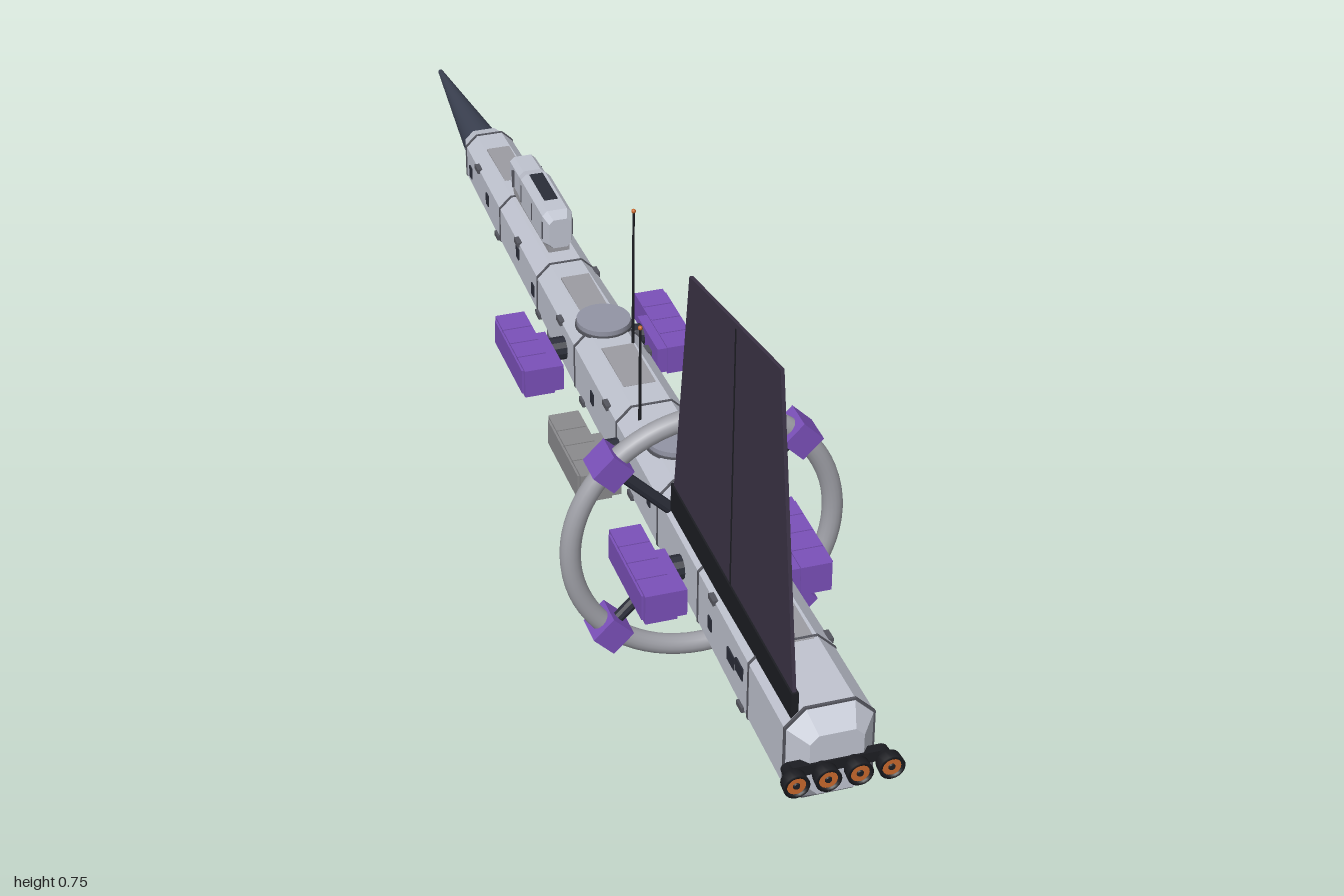
import * as THREE from 'three';

const AXIS_Y = 0.213;
const mat = (color) => new THREE.MeshStandardMaterial({ color });
const flat = (color) => new THREE.MeshStandardMaterial({ color, flatShading: true });

// Octagonal loft along z; each section is [z, halfWidth, halfHeight, chamfer, centreY]
function loft(sections) {
  const rings = sections.map(([z, w, h, c, y]) => [
    [w, c - h], [w, h - c], [w - c, h], [c - w, h],
    [-w, h - c], [-w, c - h], [c - w, -h], [w - c, -h],
  ].map(([px, py]) => new THREE.Vector3(px, py + y, z)));
  const pts = [];
  for (let i = 0; i < rings.length - 1; i++) {
    for (let j = 0; j < 8; j++) {
      const k = (j + 1) % 8;
      const [a, b, c, d] = [rings[i][j], rings[i][k], rings[i + 1][k], rings[i + 1][j]];
      pts.push(a, b, c, a, c, d);
    }
  }
  const first = rings[0], last = rings[rings.length - 1];
  for (let j = 1; j < 7; j++) {
    pts.push(first[0], first[j + 1], first[j], last[0], last[j], last[j + 1]);
  }
  const g = new THREE.BufferGeometry().setFromPoints(pts);
  g.computeVertexNormals();
  return g;
}

export function createModel() {
  const root = new THREE.Group();
  root.name = 'spaceship';
  const M = {
    hull: flat(0xc0c4d0), panel: flat(0x9c9ca2), seam: flat(0x55565e), purple: flat(0x7a50b8),
    pod: flat(0x8a8a8c), dark: flat(0x2a2d38), nose: mat(0x3a4050), ring: mat(0xa0a1a8),
    fin: flat(0x3b3346), disc: mat(0x9294a4), black: mat(0x1c1d22), orange: mat(0xc8692c),
  };
  const add = (name, geo, material, x = 0, y = 0, z = 0, parent = root) => {
    const m = new THREE.Mesh(geo, material);
    m.name = name;
    m.position.set(x, y, z);
    parent.add(m);
    return m;
  };
  const box = (name, w, h, d, material, x, y, z, parent) =>
    add(name, new THREE.BoxGeometry(w, h, d), material, x, y, z, parent);
  const rod = (r1, r2, len, n = 16) => new THREE.CylinderGeometry(r1, r2, len, n);

  // Hull, tapering from the engine block to the nose
  const stations = [
    [-0.715, 0.032, 0.034, 0.014], [-0.68, 0.039, 0.044, 0.018], [-0.46, 0.043, 0.048, 0.019],
    [-0.235, 0.046, 0.051, 0.021], [-0.02, 0.05, 0.057, 0.022], [0.2, 0.053, 0.061, 0.023],
    [0.4, 0.055, 0.064, 0.024], [0.585, 0.057, 0.066, 0.025], [0.8, 0.06, 0.07, 0.026],
    [0.94, 0.061, 0.072, 0.027], [0.97, 0.037, 0.047, 0.012],
  ].map((s) => [...s, AXIS_Y]);
  add('hull', loft(stations), M.hull);
  const hullAt = (z) => {
    let i = 0;
    while (i < stations.length - 2 && stations[i + 1][0] < z) i++;
    const a = stations[i], b = stations[i + 1];
    const t = (z - a[0]) / (b[0] - a[0]);
    return a.map((v, n) => v + (b[n] - v) * t);
  };

  // Dark seams at the hull joints and raised plates along the keel and spine
  stations.slice(1, -1).forEach(([z, w, h, c, y]) => {
    const s = [w + 0.0012, h + 0.0012, c, y];
    add('hullSeam', loft([[z - 0.002, ...s], [z + 0.002, ...s]]), M.seam);
  });
  for (const z of [-0.57, -0.13, 0.09, 0.49, 0.75]) {
    const [, w, h, c] = hullAt(z);
    for (const s of [1, -1]) {
      box('hullPlate', (w - c) * 1.7, 0.003, 0.11, M.panel, 0, AXIS_Y + s * h, z);
    }
  }

  // Nose spike
  const nose = rod(0.032, 0.004, 0.29, 24);
  nose.rotateX(Math.PI / 2);
  add('noseSpike', nose, M.nose, 0, AXIS_Y, -0.855);

  // Bridge on the spine
  const bridge = new THREE.Group();
  bridge.name = 'bridge';
  root.add(bridge);
  add('bridgeBody', loft([
    [-0.49, 0.014, 0.016, 0.005, 0.299], [-0.475, 0.021, 0.024, 0.007, 0.301],
    [-0.42, 0.022, 0.026, 0.008, 0.302], [-0.40, 0.024, 0.031, 0.008, 0.302],
    [-0.28, 0.024, 0.031, 0.008, 0.302], [-0.262, 0.018, 0.025, 0.007, 0.3],
  ]), M.hull, 0, 0, 0, bridge);
  box('bridgeFoot', 0.034, 0.04, 0.2, M.panel, 0, 0.267, -0.37, bridge);
  box('bridgeRoofPanel', 0.022, 0.004, 0.085, M.dark, 0, 0.332, -0.355, bridge);
  for (const z of [-0.45, -0.40, -0.34, -0.28]) {
    box('bridgeFrame', 0.05, 0.03, 0.003, M.seam, 0, 0.3, z, bridge);
  }

  // Habitat ring with spokes and corner modules
  const ring = new THREE.Group();
  ring.name = 'habitatRing';
  ring.position.set(0, 0.209, 0.435);
  root.add(ring);
  add('ringTube', new THREE.TorusGeometry(0.194, 0.015, 16, 72), M.ring, 0, 0, 0, ring);
  for (let i = 0; i < 4; i++) {
    const arm = new THREE.Group();
    arm.name = 'ringArm';
    arm.rotation.z = Math.PI / 4 + i * Math.PI / 2;
    ring.add(arm);
    const spoke = add('spoke', rod(0.009, 0.009, 0.15, 10), M.dark, 0.115, 0, 0, arm);
    spoke.rotation.z = Math.PI / 2;
    box('ringModule', 0.042, 0.042, 0.05, M.purple, 0.195, 0, 0, arm);
  }

  // Side pods in three mirrored pairs
  const pods = [[-0.078, M.purple], [0.21, M.pod], [0.51, M.purple]];
  for (const [z, material] of pods) {
    for (const s of [1, -1]) {
      const pod = new THREE.Group();
      pod.name = s > 0 ? 'leftPod' : 'rightPod';
      pod.position.set(s * 0.105, 0.211, z);
      root.add(pod);
      box('podBody', 0.046, 0.046, 0.165, material, s * 0.007, 0, 0, pod);
      box('podOuterPlate', 0.02, 0.04, 0.15, material, s * 0.023, 0, 0, pod);
      box('podInnerBlock', 0.02, 0.042, 0.1, material, s * -0.021, 0, 0.03, pod);
      for (const dz of [-0.04, 0.0, 0.04]) {
        box('podRib', 0.045, 0.049, 0.004, material, s * 0.008, 0, dz, pod);
      }
      const strut = add('podStrut', rod(0.018, 0.018, 0.07, 12), M.dark, s * -0.038, 0, 0, pod);
      strut.rotation.z = Math.PI / 2;
    }
  }

  // Round hatches above and below
  const hatch = (z, s) => {
    const y = AXIS_Y + s * (hullAt(z)[2] + 0.004);
    add('hatch', rod(0.041, 0.041, 0.014, 28), M.disc, 0, y, z);
    add('hatchRim', rod(0.043, 0.043, 0.005, 28), M.seam, 0, y - s * 0.003, z);
  };
  [-0.035, 0.31, 0.66].forEach((z) => hatch(z, 1));
  [-0.19, 0.18, 0.55].forEach((z) => hatch(z, -1));

  // Tall radiator fin, standing on the right shoulder
  const outline = new THREE.Shape([[0.933, 0.3], [0.853, 0.745], [0.504, 0.675], [0.45, 0.3]]
    .map(([z, y]) => new THREE.Vector2(-z, y)));
  const finGeo = new THREE.ExtrudeGeometry(outline, { depth: 0.005, bevelEnabled: false });
  finGeo.rotateY(Math.PI / 2);
  add('radiatorFin', finGeo, M.fin, -0.0485, 0, 0);
  const rib = box('finSeam', 0.007, 0.4, 0.003, M.black, -0.046, 0.505, 0.69);
  rib.name = 'finCentreSeam';
  box('finBase', 0.01, 0.045, 0.49, M.black, -0.046, 0.284, 0.69);

  // Engines in a row
  const bell = new THREE.LatheGeometry([
    [0.008, -0.04], [0.01, -0.02], [0.017, -0.016], [0.018, 0], [0.0135, 0], [0.011, -0.008],
  ].map(([r, y]) => new THREE.Vector2(r, y)), 20);
  bell.rotateX(Math.PI / 2);
  const glow = new THREE.CircleGeometry(0.014, 20);
  box('engineMount', 0.13, 0.016, 0.014, M.black, 0, 0.211, 0.966);
  for (let i = 0; i < 4; i++) {
    const x = -0.0645 + i * 0.043;
    const b = add('engineBell', bell, M.black.clone(), x, 0.211, 1);
    b.material.side = THREE.DoubleSide;
    add('engineGlow', glow, M.orange, x, 0.211, 0.998);
    const core = rod(0.004, 0.006, 0.004, 12);
    core.rotateX(Math.PI / 2);
    add('engineCore', core, M.black, x, 0.211, 0.998);
  }

  // Antennas with bead tips
  for (const [x, top, z] of [[0.028, 0.5, 0.435], [-0.029, 0.43, 0.235], [0.026, 0.498, 0.03]]) {
    add('antenna', rod(0.0018, 0.0025, top - 0.25, 8), M.black, x, (top + 0.25) / 2, z);
    add('antennaTip', new THREE.SphereGeometry(0.0035, 10, 8), M.orange, x, top, z);
  }

  // Windows and small equipment boxes along both flanks
  const windows = [-0.65, -0.54, -0.35, -0.26, 0.075, 0.36, 0.64, 0.73, 0.765];
  windows.forEach((z, i) => {
    const w = hullAt(z)[1];
    for (const s of [1, -1]) {
      box('window', 0.004, 0.02, i > 6 ? 0.028 : 0.014, M.dark, s * w, 0.207 + (i % 3) * 0.008, z);
    }
  });
  for (let i = 0; i < 12; i++) {
    const z = -0.6 + i * 0.125;
    const [, w, h, c] = hullAt(z);
    for (const s of [1, -1]) {
      const y = AXIS_Y + (i % 2 ? s : -s) * (h - c);
      box('equipmentBox', 0.008, 0.008, 0.02, M.seam, s * w, y, z);
    }
  }
  return root;
}
